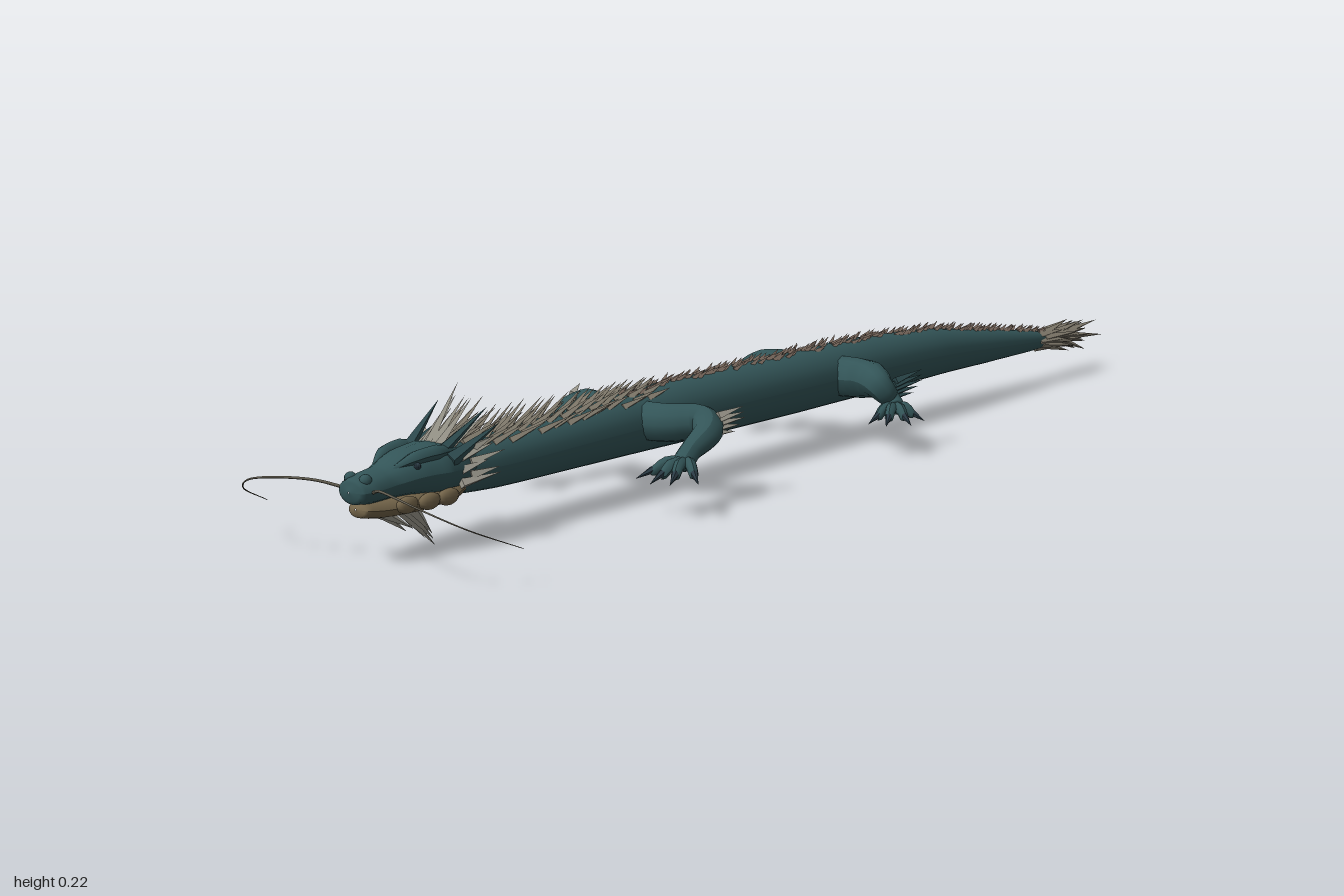
import * as THREE from 'three';
import { mergeGeometries } from 'three/addons/utils/BufferGeometryUtils.js';

const material = (name, color, flatShading = false) => {
  const m = new THREE.MeshStandardMaterial({ color });
  m.name = name;
  m.flatShading = flatShading;
  return m;
};
const V = (p) => new THREE.Vector3(...p);
const mirror = (p, s) => [p[0] * s, p[1], p[2]];

// Small seeded generator for tuft variation
function seeded(seed) {
  return () => (seed = (seed * 16807) % 2147483647) / 2147483647;
}

// Linear lookup in a list of numbers, t from 0 to 1
function sample(list, t) {
  const f = t * (list.length - 1), i = Math.min(Math.floor(f), list.length - 2);
  return THREE.MathUtils.lerp(list[i], list[i + 1], f - i);
}

// Tube through points with its own width (rx) and height (ry) at each point
function limb(points, rx, ry = rx, steps = 6, sides = 14) {
  const curve = new THREE.CatmullRomCurve3(points.map(V));
  curve.getPointAt = (u, o) => curve.getPoint(u, o);
  curve.getTangentAt = (u, o) => curve.getTangent(u, o);
  const n = (points.length - 1) * steps;
  const geo = new THREE.TubeGeometry(curve, n, 1, sides);
  const pos = geo.attributes.position, v = new THREE.Vector3();
  for (let i = 0; i <= n; i++) {
    const c = curve.getPoint(i / n), a = sample(rx, i / n), b = sample(ry, i / n);
    for (let j = 0; j <= sides; j++) {
      const k = i * (sides + 1) + j;
      v.fromBufferAttribute(pos, k).sub(c);
      pos.setXYZ(k, c.x + v.x * a, c.y + v.y * b, c.z + v.z * a);
    }
  }
  geo.computeVertexNormals();
  return geo;
}

// Four-sided pointed blade from base to tip
function spike(base, tip, r, sides = 4) {
  const a = V(base), d = V(tip).sub(a), len = d.length();
  const geo = new THREE.ConeGeometry(r, len, sides).translate(0, len / 2, 0);
  geo.applyQuaternion(new THREE.Quaternion().setFromUnitVectors(new THREE.Vector3(0, 1, 0), d.normalize()));
  return geo.translate(a.x, a.y, a.z);
}

// Body rings: z, centre height, radius
const BODY = [
  [0.84, 0.1, 0.03], [0.7, 0.099, 0.038], [0.5, 0.104, 0.044], [0.3, 0.108, 0.049], [0, 0.109, 0.05],
  [-0.2, 0.109, 0.049], [-0.4, 0.105, 0.043], [-0.6, 0.092, 0.03], [-0.8, 0.078, 0.014], [-0.84, 0.077, 0.002],
];
function bodyAt(z) {
  let i = 0;
  while (i < BODY.length - 2 && BODY[i + 1][0] > z) i++;
  const t = (BODY[i][0] - z) / (BODY[i][0] - BODY[i + 1][0]);
  return [1, 2].map((k) => THREE.MathUtils.lerp(BODY[i][k], BODY[i + 1][k], t));
}

export function createModel() {
  const group = new THREE.Group();
  const rand = seeded(77);
  const skin = material('teal skin', 0x335558);
  const horn = material('dark teal horn', 0x2e4c50, true);
  const hair = material('grey hair', 0xa5a296, true);
  const spine = material('brown spine', 0x7d6c60, true);
  const tuftMat = material('grey brown tuft', 0x8b8475, true);
  const jawTan = material('tan jaw', 0x74654a);
  const claw = material('dark claw', 0x2a3a44, true);
  const whiskerMat = material('brown whisker', 0x625d50);

  const add = (name, geos, mat) => {
    const mesh = new THREE.Mesh(Array.isArray(geos) ? mergeGeometries(geos) : geos, mat);
    mesh.name = name;
    group.add(mesh);
  };

  // Long body tapering to the tail
  add('body', limb(BODY.map(([z, y]) => [0, y, z]), BODY.map((b) => b[2]), undefined, 8, 24), skin);

  // Head: skull, snout and nose
  const skull = [0.75, 0.79, 0.83, 0.87, 0.91, 0.945, 0.965, 0.97];
  const skullY = [0.105, 0.11, 0.112, 0.112, 0.106, 0.103, 0.102, 0.102];
  add('head', limb(skull.map((z, i) => [0, skullY[i], z]),
    [0.03, 0.046, 0.052, 0.045, 0.031, 0.03, 0.023, 0.001],
    [0.03, 0.035, 0.037, 0.032, 0.023, 0.021, 0.017, 0.001], 4, 16), skin);

  // Lower jaw with rounded lobes along each cheek
  const jaw = [limb([[0, 0.082, 0.76], [0, 0.077, 0.8], [0, 0.074, 0.86], [0, 0.073, 0.92], [0, 0.076, 0.952], [0, 0.077, 0.958]],
    [0.02, 0.038, 0.037, 0.026, 0.019, 0.001], [0.01, 0.016, 0.017, 0.014, 0.011, 0.001], 4, 14)];

  const brows = [], nostrils = [], eyes = [], horns = [], cheeks = [];
  for (const s of [-1, 1]) {
    for (const [x, z] of [[0.036, 0.82], [0.035, 0.855], [0.028, 0.89]]) {
      jaw.push(new THREE.SphereGeometry(1, 10, 8).scale(0.009, 0.012, 0.02).translate(s * x, 0.075, z));
    }
    brows.push(limb([[s * 0.018, 0.125, 0.905], [s * 0.029, 0.136, 0.875], [s * 0.034, 0.139, 0.84], [s * 0.034, 0.137, 0.8]],
      [0.003, 0.01, 0.011, 0.003], undefined, 4, 8));
    nostrils.push(new THREE.SphereGeometry(0.009, 10, 8).translate(s * 0.014, 0.117, 0.952));
    eyes.push(new THREE.SphereGeometry(0.005, 10, 8).translate(s * 0.037, 0.127, 0.878));
    // Swept horns and ears
    for (const [a, b, r] of [
      [[0.03, 0.135, 0.83], [0.046, 0.19, 0.75], 0.01],
      [[0.04, 0.125, 0.82], [0.05, 0.165, 0.73], 0.012],
    ]) horns.push(spike(mirror(a, s), mirror(b, s), r, 5));
    // Cheek hair
    for (let i = 0; i < 6; i++) {
      cheeks.push(spike([s * 0.042, 0.09 + i * 0.009, 0.8 - (i % 2) * 0.02],
        [s * (0.057 + 0.009 * (i % 2)), 0.098 + i * 0.011, 0.735 + 0.012 * (i % 3)], 0.008));
    }
  }
  add('lowerJaw', jaw, jawTan);
  add('brows', brows, skin);
  add('nostrils', nostrils, skin);
  add('eyes', eyes, claw);
  add('horns', horns, horn);
  add('cheekHair', cheeks, hair);

  // Chin beard sweeping down and back
  const beard = [];
  for (let i = -2; i <= 2; i++) {
    const k = Math.abs(i);
    beard.push(spike([i * 0.007, 0.068, 0.88 - k * 0.006], [i * 0.009, k * 0.012, 0.81 + k * 0.012], 0.01));
    if (k < 2) beard.push(spike([i * 0.01, 0.066, 0.915], [i * 0.012, 0.03 + k * 0.006, 0.865], 0.008));
  }
  add('beard', beard, hair);

  // Long curved whiskers
  add('whiskers', [-1, 1].map((s) => limb([[0.025, 0.102, 0.95], [0.06, 0.112, 0.972], [0.11, 0.113, 0.992],
    [0.16, 0.105, 0.997], [0.21, 0.08, 0.965], [0.241, 0.047, 0.895]].map((p) => mirror(p, s)),
    [0.0024, 0.002, 0.0017, 0.0013, 0.001, 0.0005], undefined, 6, 6)), whiskerMat);

  // Tall blades fanned over the crown
  const crown = [];
  for (let i = -4; i <= 4; i++) {
    const k = Math.abs(i);
    crown.push(spike([i * 0.006, 0.135 - k * 0.002, 0.825], [i * 0.0085, 0.221 - k * 0.011 - (k % 2) * 0.008, 0.758 - k * 0.004], 0.009));
  }
  add('crownHair', crown, hair);

  // Mane behind the head, shrinking toward the shoulders
  const mane = [];
  for (let row = 0; row < 15; row++) {
    const z = 0.8 - row * 0.03, [cy, r] = bodyAt(z), size = 1 - row / 22;
    for (let i = -2; i <= 2; i++) {
      const a = i * 0.29 + (rand() - 0.5) * 0.16, lift = (0.022 + 0.038 * (1 - Math.abs(i) / 3)) * size;
      const x = Math.sin(a), y = Math.cos(a), head = row < 2 ? 0.014 : 0;
      mane.push(spike([x * r * 0.95, cy + head + y * r * 0.92, z],
        [x * (r + lift * 0.8), cy + head + y * (r + lift * 0.8), z - 0.03 - 0.03 * size - rand() * 0.01], 0.0065));
    }
  }
  add('mane', mane, tuftMat);

  // Small ragged spines scattered in a strip along the back
  const ragged = [];
  for (let i = 0; i < 220; i++) {
    const z = 0.42 - i * 0.0055, [cy, r] = bodyAt(z), a = (rand() - 0.5) * 0.62;
    const x = Math.sin(a), y = Math.cos(a), top = r + 0.005 + rand() * 0.007;
    ragged.push(spike([x * r * 0.95, cy + y * r * 0.95, z], [x * top * 1.1, cy + y * top, z - 0.018 - rand() * 0.008], 0.005));
  }
  add('backSpines', ragged, spine);

  // Tail tuft
  const tuft = [];
  for (let i = 0; i < 40; i++) {
    const a = i * 2.4, k = i / 39, z = -0.765 - k * 0.105;
    const spread = 0.018 + 0.018 * rand(), tip = i > 37 ? -1 : z - 0.075 - rand() * 0.045;
    const x = Math.cos(a), y = Math.sin(a), r = 0.012 * (1 - k * 0.6);
    tuft.push(spike([x * r, 0.079 + y * r, z], [x * spread * 0.8, 0.074 + y * spread, tip], 0.0085));
  }
  add('tailTuft', tuft, tuftMat);

  // Legs: joints, thickness, ankle, toes and joint spikes, given for the left side
  const legs = [
    {
      name: 'front',
      path: [[0.025, 0.112, 0.39], [0.07, 0.113, 0.385], [0.112, 0.115, 0.362], [0.134, 0.106, 0.375], [0.138, 0.085, 0.42], [0.146, 0.073, 0.448], [0.15, 0.068, 0.462]],
      r: [0.03, 0.029, 0.026, 0.023, 0.016, 0.016, 0.004],
      ankle: [0.146, 0.072, 0.442], reach: 0.55,
      toes: [[0.118, 0.062, 0.482], [0.145, 0.062, 0.494], [0.164, 0.062, 0.488], [0.182, 0.062, 0.468]],
      tuft: [0.136, 0.114, 0.36], sweep: [0.016, 0.005, -0.055],
    },
    {
      name: 'hind',
      path: [[0.025, 0.11, -0.105], [0.07, 0.111, -0.105], [0.11, 0.114, -0.085], [0.132, 0.106, -0.076], [0.138, 0.086, -0.094], [0.15, 0.073, -0.092], [0.157, 0.068, -0.085]],
      r: [0.034, 0.033, 0.029, 0.022, 0.016, 0.016, 0.004],
      ankle: [0.147, 0.072, -0.092], reach: 0.65,
      toes: [[0.142, 0.062, -0.055], [0.163, 0.062, -0.055], [0.179, 0.062, -0.075], [0.176, 0.062, -0.103]],
      tuft: [0.138, 0.1, -0.1], sweep: [0.014, 0.008, -0.07],
    },
  ];
  for (const leg of legs) {
    for (const s of [-1, 1]) {
      const side = leg.name + (s > 0 ? 'Left' : 'Right');
      add(side + 'Leg', limb(leg.path.map((p) => mirror(p, s)), leg.r, undefined, 5, 12), skin);
      const toes = [], claws = [], tuftGeos = [];
      for (const t of leg.toes) {
        const a = leg.ankle, dx = t[0] - a[0], dz = t[2] - a[2];
        const mid = [a[0] + dx * 0.6, 0.074, a[2] + dz * 0.6];
        toes.push(limb([a, mid, t, [t[0] + dx * 0.1, 0.06, t[2] + dz * 0.1]].map((p) => mirror(p, s)),
          [0.01, 0.009, 0.007, 0.003], undefined, 3, 8));
        claws.push(spike(mirror([t[0], 0.065, t[2]], s),
          mirror([t[0] + dx * leg.reach, 0.053, t[2] + dz * leg.reach], s), 0.006, 6));
      }
      // Spikes at the elbow or heel
      for (let i = -2; i <= 2; i++) {
        const b = leg.tuft, w = leg.sweep;
        tuftGeos.push(spike(mirror([b[0] + i * 0.003, b[1] + i * 0.007, b[2]], s),
          mirror([b[0] + w[0] + i * 0.004, b[1] + w[1] + i * 0.01, b[2] + w[2] + Math.abs(i) * 0.008], s), 0.0075));
      }
      add(side + 'Toes', toes, skin);
      add(side + 'Claws', claws, claw);
      add(side + 'LegSpikes', tuftGeos, leg.name === 'front' ? hair : horn);
    }
  }
  return group;
}
